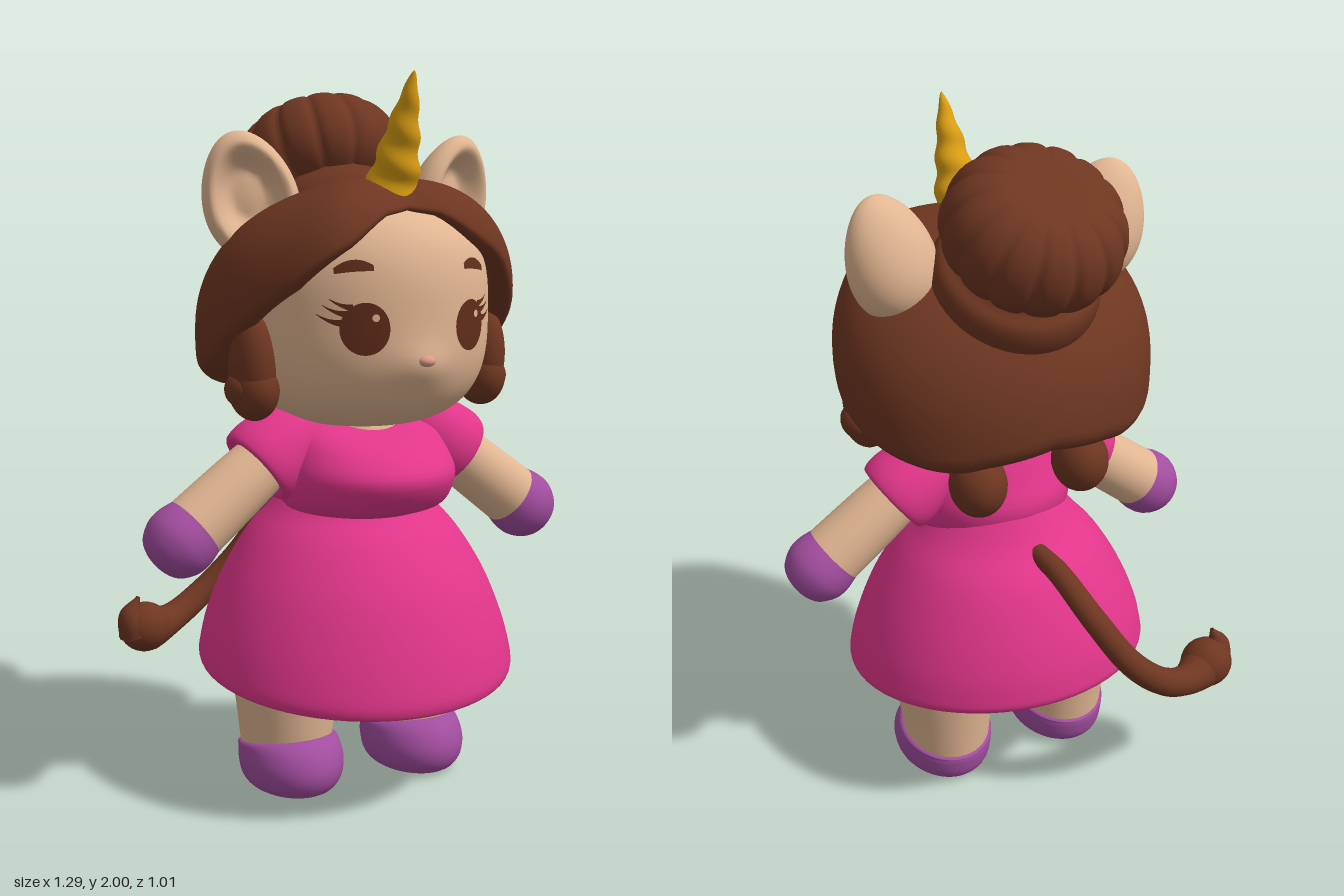
import * as THREE from 'three';
import { mergeVertices } from 'three/addons/utils/BufferGeometryUtils.js';
import { ParametricGeometry } from 'three/addons/geometries/ParametricGeometry.js';

const TAU = Math.PI * 2;
const V3 = (x, y, z) => new THREE.Vector3(x, y, z);
const spow = (v, e) => Math.sign(v) * Math.abs(v) ** e;

export function createModel() {
  const model = new THREE.Group();
  const mat = (name, color, side = THREE.FrontSide) =>
    Object.assign(new THREE.MeshStandardMaterial({ color, side }), { name });
  const skin = mat('skin', 0xe2b692);
  const hair = mat('hair', 0x6e3621, THREE.DoubleSide);
  const pink = mat('dress pink', 0xe2368b, THREE.DoubleSide);
  const purple = mat('purple', 0xa24d9f);
  const gold = mat('horn gold', 0xd99d12);
  const eyeBrown = mat('eye brown', 0x602d1a, THREE.DoubleSide);
  const nosePink = mat('nose pink', 0xdf9c88);

  const part = (name, geo, material, x = 0, y = 0, z = 0) => {
    const mesh = new THREE.Mesh(geo, material);
    mesh.name = name;
    mesh.position.set(x, y, z);
    model.add(mesh);
    return mesh;
  };
  // weld the seams and smooth the normals
  const smooth = (geo) => {
    geo.deleteAttribute('uv');
    geo.deleteAttribute('normal');
    const g = mergeVertices(geo, 1e-5);
    g.computeVertexNormals();
    return g;
  };
  const surface = (fn, nu, nv) => smooth(new ParametricGeometry(
    (u, v, t) => t.copy(fn((u === 1 ? 0 : u) * TAU, v)), nu, nv));
  const ball = (name, m, x, y, z, rx, ry = rx, rz = rx) =>
    part(name, new THREE.SphereGeometry(1, 28, 20), m, x, y, z).scale.set(rx, ry, rz);

  // elliptical rows [y, rx, rz, centre z, slope], splined together
  const loft = (rows, nu = 48) => {
    const a = new THREE.CatmullRomCurve3(rows.map((r) => V3(r[1], r[0], r[2])), false, 'catmullrom', 0.5);
    const b = new THREE.CatmullRomCurve3(rows.map((r) => V3(r[3] ?? 0, r[4] ?? 0, 0)), false, 'catmullrom', 0.5);
    return surface((p, v) => {
      const s = a.getPoint(v), c = b.getPoint(v);
      const dz = Math.max(s.z, 0) * Math.cos(p);
      return V3(Math.max(s.x, 0) * Math.sin(p), s.y - c.y * dz, c.x + dz);
    }, nu, (rows.length - 1) * 4);
  };
  // tube through points with a radius at each point
  const taper = (points, radii) => {
    const n = 48, m = 16, curve = new THREE.CatmullRomCurve3(points.map((p) => V3(...p)));
    const rc = new THREE.SplineCurve(radii.map((r, i) => new THREE.Vector2(i, r)));
    const geo = new THREE.TubeGeometry(curve, n, 1, m), pos = geo.attributes.position;
    for (let i = 0; i <= n; i++) {
      const t = curve.getUtoTmapping(i / n), c = curve.getPoint(t), r = Math.max(rc.getPoint(t).y, 0.0005);
      for (let j = 0; j <= m; j++) {
        const k = i * (m + 1) + j, p = V3().fromBufferAttribute(pos, k).sub(c).multiplyScalar(r).add(c);
        pos.setXYZ(k, p.x, p.y, p.z);
      }
    }
    return smooth(geo);
  };

  // head: rounded block, flatter at the face, with a soft muzzle
  const HY = 1.37, HRY = 0.315, HX = 0.352, HZ = 0.36, CZ = 0.09, E = 2.9;
  const muzzle = (x, y) => 0.022 * Math.exp(-((x / 0.08) ** 2) - ((y - 1.245) / 0.055) ** 2);
  part('head', surface((p, v) => {
    const t = (v - 0.5) * Math.PI, s = spow(Math.sin(t), 2 / E), r = Math.max(Math.cos(t), 0) ** (2 / E);
    const c = Math.cos(p), back = Math.max(-c, 0) * r;
    const x = HX * r * Math.sin(p), y = HY + HRY * s - 0.14 * Math.max(s, 0) * back;
    return V3(x, y, CZ + (c > 0 ? HZ + muzzle(x, y) : 0.32) * r * c);
  }, 72, 56), skin);
  const headZ = (x, y) => {
    const r = (1 - Math.abs((y - HY) / HRY) ** E) ** (1 / E);
    return CZ + (HZ + muzzle(x, y)) * Math.sqrt(Math.max(r * r - (x / HX) ** 2, 0));
  };
  ball('nose', nosePink, 0, 1.262, 0.46, 0.024, 0.015, 0.018);

  // thin face details laid onto the head
  const patch = (name, geo, material, lift, fn) => {
    const pos = geo.attributes.position;
    for (let i = 0; i < pos.count; i++) {
      const [x, y] = fn(pos.getX(i), pos.getY(i));
      pos.setXYZ(i, x, y, headZ(x, y) + lift);
    }
    geo.computeVertexNormals();
    part(name, geo, material);
  };
  const disc = () => new THREE.RingGeometry(0.001, 1, 32, 5);
  for (const s of [1, -1]) {
    patch('eye', disc(), eyeBrown, 0.005, (x, y) => [s * 0.156 + x * 0.058, 1.347 + y * 0.068]);
    patch('eyeGlint', disc(), skin, 0.008, (x, y) => [s * 0.156 + 0.022 + x * 0.009, 1.376 + y * 0.01]);
    patch('eyebrow', new THREE.PlaneGeometry(2, 2, 12, 2), eyeBrown, 0.006, (x, y) =>
      [s * (0.178 + x * 0.044), 1.508 - 0.01 * x * x - 0.004 * x + y * 0.015 * (1 - 0.5 * x * x)]);
    for (const [i, y0] of [1.362, 1.385, 1.402].entries())
      patch('eyelash', new THREE.PlaneGeometry(1, 1, 4, 1), eyeBrown, 0.006, (x, y) => {
        const t = x + 0.5;
        return [s * (0.21 - i * 0.012 + t * 0.05), y0 + t * t * 0.022 + y * 0.018 * (1 - 0.9 * t)];
      });
  }

  // hair cap: sheared dome, parted over the face, with a rolled rim
  const dome = (p, t) => {
    const f = Math.cos(p), e = 1 - 0.125 * (1 - f), r = Math.max(Math.sin(t), 0) ** e;
    const a = Math.abs(Math.atan2(Math.sin(p), f));
    const z = 0.38 * r * f * (1 - 0.06 * Math.exp(-((a / 0.16) ** 2)) + 0.1 * Math.exp(-(((a - 0.6) / 0.28) ** 2)));
    return V3(0.46 * r * Math.sin(p), 1.35 + 0.35 * spow(Math.cos(t), e) + 0.4 * z, 0.06 + z);
  };
  const rimKeys = [[0, 56], [12, 61], [25, 75], [45, 88], [90, 100], [180, 85]];
  const rimAngle = (p) => {
    const d = Math.abs(Math.atan2(Math.sin(p), Math.cos(p))) * 180 / Math.PI;
    const i = Math.max(1, rimKeys.findIndex((k) => d <= k[0] + 1e-6));
    const [a, b] = [rimKeys[i - 1], rimKeys[i]];
    return THREE.MathUtils.degToRad(THREE.MathUtils.mapLinear(d, a[0], b[0], a[1], b[1]));
  };
  part('hairCap', surface((q, v) => {
    const p = -q, end = rimAngle(p);
    if (v <= 0.7) return dome(p, end * v / 0.7);
    const a = (v - 0.7) / 0.3 * Math.PI, P = dome(p, end);
    const width = THREE.MathUtils.lerp(0.05, 0.13, Math.min(1, 0.6 * (1 - Math.cos(p))));
    const tan = dome(p, end + 0.01).sub(P).normalize();
    const inward = V3(-P.x, 0, 0.06 - P.z).normalize();
    return P.addScaledVector(inward, width * (1 - Math.cos(a)) / 2).addScaledVector(tan, width * 0.5 * Math.sin(a));
  }, 96, 40), hair);

  // bun: lobed cushion on a flat coil, tilted back
  const tilt = -Math.PI / 6;
  part('bun', surface((p, v) => {
    const t = (v - 0.5) * Math.PI, r = Math.max(Math.cos(t), 0) ** 0.68;
    const lobe = 1 - 0.06 * (1 - Math.abs(Math.sin(p * 7))) ** 2 * Math.min(1, r * 1.5);
    const y = (t > 0 ? 0.168 : 0.14) * Math.sin(t) - (t > 0 ? 0.02 * (1 - r) ** 2 : 0);
    return V3(0.247 * r * lobe * Math.sin(p), y * (0.9 + 0.1 * lobe), 0.245 * r * lobe * Math.cos(p));
  }, 140, 28), hair, 0, 1.772, -0.165).rotation.x = tilt;
  part('bunBase', loft([[-0.12, 0.22, 0.22], [-0.03, 0.235, 0.235], [0.03, 0.22, 0.22], [0.06, 0.18, 0.18], [0.12, 0.16, 0.16]]),
    hair, 0, 1.625, -0.075).rotation.x = tilt;

  // horn with a spiral ridge
  part('horn', surface((p, v) => {
    const r = 0.077 * (1 - v) ** 0.72 * (1 + 0.08 * Math.sin(p + v * TAU * 4));
    return V3(r * Math.sin(p), v * 0.355, r * Math.cos(p));
  }, 32, 60), gold, 0, 1.67, 0.255).rotation.x = 0.37;

  // dress
  part('bodice', loft([[0.81, 0.18, 0.17, 0.09], [0.84, 0.235, 0.22, 0.11], [0.92, 0.25, 0.255, 0.125], [0.99, 0.232, 0.22, 0.12, 0.05],
    [1.055, 0.2, 0.165, 0.1, 0.2], [1.1, 0.12, 0.11, 0.085, 0.5]]), pink);
  part('skirt', loft([[0.8, 0, 0, 0.05], [0.78, 0.22, 0.2, 0.04], [0.6, 0.36, 0.35, 0.045], [0.4, 0.43, 0.41, 0.06, 0.1],
    [0.362, 0.445, 0.425, 0.06, 0.115], [0.375, 0.456, 0.436, 0.06, 0.115], [0.41, 0.453, 0.435, 0.06, 0.1], [0.5, 0.43, 0.414, 0.052, 0.05],
    [0.62, 0.38, 0.368, 0.043], [0.74, 0.308, 0.295, 0.036], [0.82, 0.24, 0.215, 0.036], [0.9, 0.18, 0.18, 0.05]], 64), pink);
  ball('neck', skin, 0, 1.03, 0.085, 0.11, 0.075, 0.105);

  // paired parts; s = 1 is the left side
  for (const s of [1, -1]) {
    part('leg', loft([[0.08, 0.125, 0.135, 0.005], [0.2, 0.138, 0.15, 0.008], [0.42, 0.16, 0.17, 0.01], [0.56, 0.12, 0.15, 0.02], [0.6, 0, 0, 0.02]]),
      skin, s * 0.2);
    part('shoe', loft([[0, 0, 0, 0.04], [0.002, 0.095, 0.125, 0.04], [0.03, 0.134, 0.168, 0.04], [0.08, 0.146, 0.18, 0.04], [0.115, 0.143, 0.17, 0.03, -0.1],
      [0.132, 0.139, 0.151, 0.012, -0.2], [0.138, 0.12, 0.13, 0.005, -0.2]]), purple, s * 0.2);

    const along = new THREE.Quaternion().setFromUnitVectors(V3(0, 1, 0), V3(s * 0.79, -0.61, 0.04).normalize());
    const limb = (name, m, pts) => part(name, smooth(new THREE.LatheGeometry(
      new THREE.SplineCurve(pts.map((p) => new THREE.Vector2(...p))).getPoints(24).map((p) => p.setX(Math.max(p.x, 0))), 32)),
    m, s * 0.22, 1.02, 0.075).quaternion.copy(along);
    limb('arm', skin, [[0.075, 0], [0.086, 0.15], [0.09, 0.25], [0.093, 0.365]]);
    limb('hand', purple, [[0.093, 0.36], [0.101, 0.4], [0.098, 0.44], [0.074, 0.482], [0.04, 0.501], [0, 0.507]]);
    limb('sleeve', pink, [[0, -0.1], [0.07, -0.08], [0.105, -0.01], [0.122, 0.07], [0.12, 0.115], [0.108, 0.128], [0.085, 0.12]]);

    // ear: teardrop with a domed back and a hollow front
    const ear = surface((p, v) => {
      const t = (v - 0.5) * Math.PI, h = Math.sin(t), r = Math.cos(t);
      const x = r * Math.sin(p), z = r * Math.cos(p), d = Math.hypot(x, h);
      const hollow = z > 0 ? 0.09 * THREE.MathUtils.smoothstep(0.88 - d, 0, 0.55) : 0;
      return V3(0.13 * x * (1 - 0.15 * h), 0.175 * h, (z > 0 ? 0.085 : 0.105) * z * (1 - 0.3 * h) - hollow);
    }, 48, 40);
    part('ear', ear, skin, s * 0.315, 1.685, 0.045).rotation.set(0.1, s * 0.3, -s * 0.3);

    // hanging locks beside the face and at the nape
    ball('sideLock', hair, s * 0.358, 1.24, 0.155, 0.062, 0.14, 0.08);
    ball('sideLockEnd', hair, s * 0.355, 1.175, 0.155, 0.066, 0.085, 0.085);
    ball('sideCurl', hair, s * 0.39, 1.175, 0.15, 0.042, 0.048, 0.06);
    part('backLock', taper([[s * 0.14, 1.26, -0.11], [s * 0.15, 1.18, -0.12], [s * 0.16, 1.08, -0.15]], [0.06, 0.05, 0.06]), hair);
    ball('backCurl', hair, s * 0.16, 1.067, -0.157, 0.08, 0.094, 0.088);
  }

  // tail with a round tuft and a curled tip
  part('tail', taper([[-0.02, 0.8, -0.17], [-0.035, 0.785, -0.27], [-0.08, 0.69, -0.4], [-0.17, 0.55, -0.46], [-0.28, 0.45, -0.465], [-0.39, 0.395, -0.43],
    [-0.48, 0.387, -0.385]], [0.03, 0.033, 0.036, 0.038, 0.041, 0.047, 0.068]), hair);
  ball('tailTuft', hair, -0.49, 0.395, -0.383, 0.078, 0.075, 0.074);
  part('tailTip', taper([[-0.515, 0.39, -0.375], [-0.535, 0.44, -0.37], [-0.515, 0.495, -0.365]], [0.06, 0.038, 0.006]), hair);
  return model;
}
